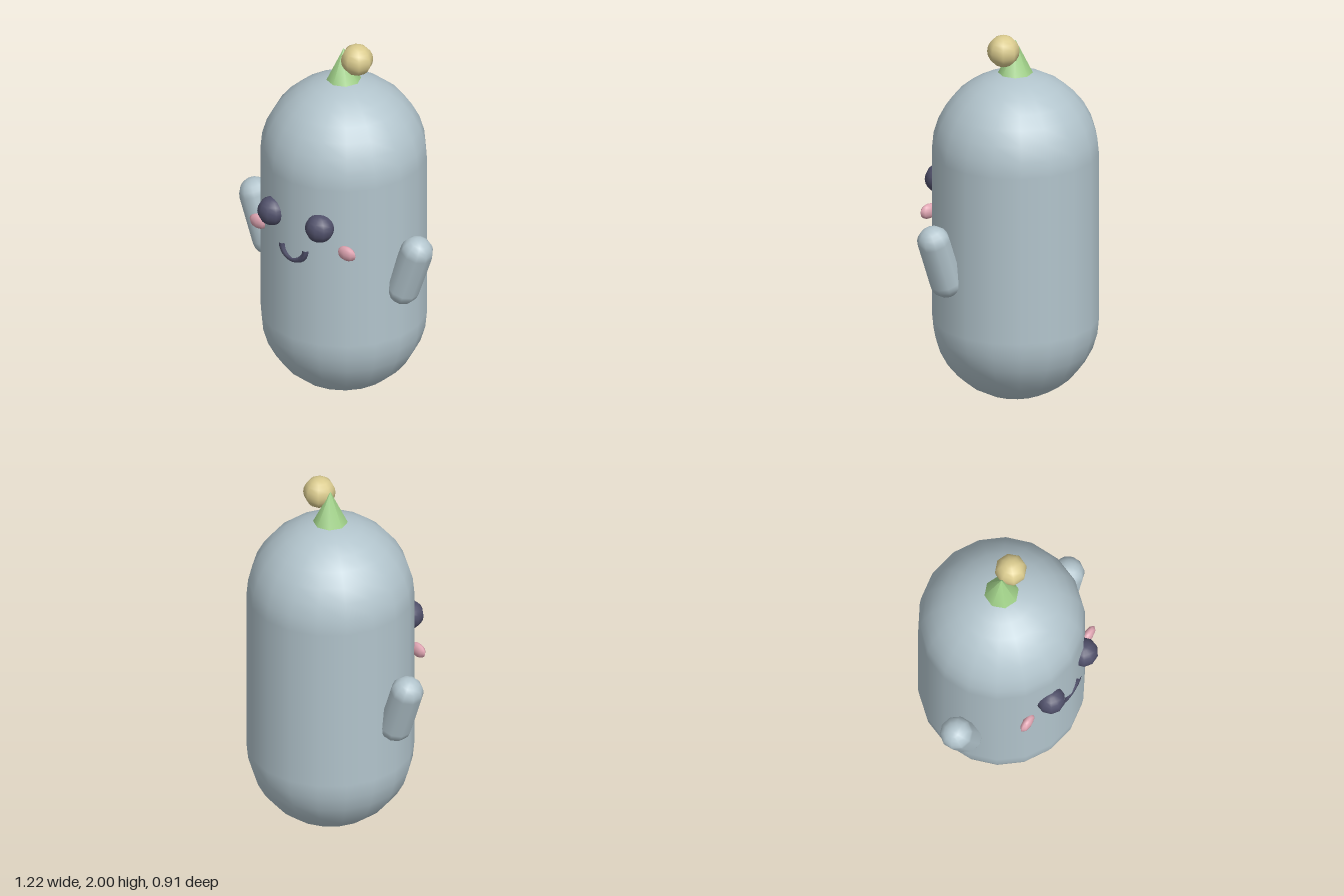
import * as THREE from 'three';

const flat = (name, color) => {
  const m = new THREE.MeshStandardMaterial({ color });
  m.name = name;
  return m;
};

export function createModel() {
  const group = new THREE.Group();
  const skin = flat('pale blue grey', 0xb2c4cc);
  const dark = flat('dark slate', 0x50506a);
  const pink = flat('blush pink', 0xdfa5b2);
  const green = flat('leaf green', 0xa0d088);
  const yellow = flat('soft yellow', 0xdacb8e);

  const add = (name, geometry, material, x, y, z) => {
    const mesh = new THREE.Mesh(geometry, material);
    mesh.name = name;
    mesh.position.set(x, y, z);
    group.add(mesh);
    return mesh;
  };

  const zc = -0.022; // body axis

  // Body: tall capsule with a facet corner facing front
  const bodyR = 0.433, bodyH = 1.775;
  const bodyGeo = new THREE.CapsuleGeometry(bodyR, bodyH - 2 * bodyR, 8, 18).rotateY(Math.PI / 2);
  add('body', bodyGeo, skin, 0, 0.004 + bodyH / 2, zc);

  // Paired parts
  const armGeo = new THREE.CapsuleGeometry(0.087, 0.25, 5, 10).rotateY(Math.PI / 2);
  const eyeGeo = new THREE.SphereGeometry(0.077, 10, 10);
  const cheekGeo = new THREE.SphereGeometry(1, 8, 8).scale(0.058, 0.04, 0.025);
  for (const [side, s] of [['left', 1], ['right', -1]]) {
    const arm = add(side + 'Arm', armGeo, skin, s * 0.482, 0.842, 0.043);
    arm.rotation.z = -s * 0.35;
    add(side + 'Eye', eyeGeo, dark, s * 0.155, 1.125, 0.381);
    add(side + 'Cheek', cheekGeo, pink, s * 0.287, 0.994, 0.325);
  }

  // Smile: lower half ring
  const smileGeo = new THREE.TorusGeometry(0.076, 0.019, 6, 12, Math.PI).rotateZ(Math.PI);
  add('mouth', smileGeo, dark, 0, 0.975, 0.398);

  // Sprout and ball on the head
  add('sprout', new THREE.ConeGeometry(0.09, 0.18, 8), green, 0, 1.867, zc);
  add('ball', new THREE.SphereGeometry(0.084, 8, 10), yellow, 0.087, 1.917, zc);

  return group;
}
